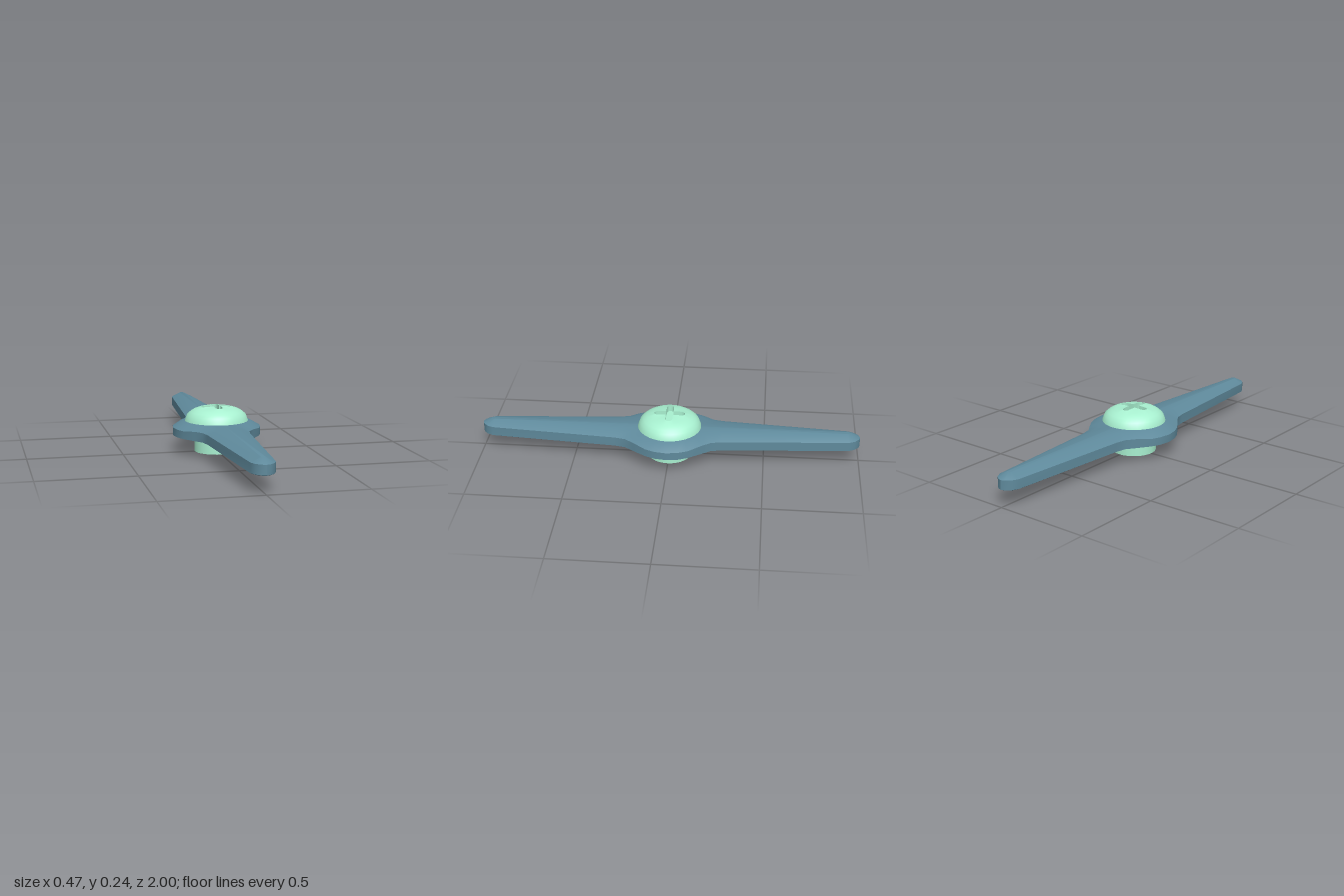
import * as THREE from 'three';
import { toCreasedNormals } from 'three/addons/utils/BufferGeometryUtils.js';

// Skin through rings of [x, y, z] (ordered +x to +z), closed by fans at both ends.
function loft(rings, startY, endY, crease) {
  const pos = [];
  const n = rings[0].length;
  const tri = (a, b, c) => pos.push(...a, ...b, ...c);
  for (let i = 0; i < n; i++) {
    const j = (i + 1) % n;
    for (let k = 0; k + 1 < rings.length; k++) {
      const a = rings[k], b = rings[k + 1];
      tri(a[i], b[i], a[j]);
      tri(a[j], b[i], b[j]);
    }
    const last = rings[rings.length - 1];
    tri([0, startY, 0], rings[0][i], rings[0][j]);
    tri([0, endY, 0], last[j], last[i]);
  }
  const g = new THREE.BufferGeometry();
  g.setAttribute('position', new THREE.Float32BufferAttribute(pos, 3));
  return toCreasedNormals(g, crease);
}

// Full ring from one quarter of [x, y, z] points running from +x to +z.
function mirrorQuarter(q) {
  const half = [...q, ...q.slice(0, -1).reverse().map(([x, y, z]) => [-x, y, z])];
  return [...half, ...half.slice(1, -1).reverse().map(([x, y, z]) => [x, y, -z])];
}

// Two-armed plate: round hub, tapering arms with a roof-like top
function plateGeometry() {
  const edge = [[0.233, 0], [0.224, 0.06], [0.203, 0.11], [0.155, 0.18], [0.123, 0.225], [0.111, 0.28],
    [0.06, 0.94], [0.045, 0.972], [0.022, 0.993], [0, 1]];
  const crest = [[0.175, 0], [0.17, 0.045], [0.152, 0.09], [0.112, 0.145], [0.075, 0.195], [0.055, 0.28],
    [0.012, 0.935], [0.009, 0.945], [0.005, 0.95], [0, 0.95]];
  const ring = (pts, y) => mirrorQuarter(pts.map(([x, z], i) => [x, y(i), z]));
  const bottom = edge.map(([x, z], i) => (i < 5 ? [x * 0.78, z * 0.85] : [x * 0.93, z * 0.995]));
  return loft([
    ring(bottom, (i) => (i < 5 ? 0.081 : 0.088)),
    ring(edge, () => 0.091),
    ring(edge, (i) => (i < 3 ? 0.132 : 0.14)),
    ring(crest, () => 0.164),
  ], 0.081, 0.164, 0.6);
}

// Domed screw head with a round-ended cross recess
function headGeometry() {
  const w = 0.019, c = 0.062;
  const octant = [0, 6, 12, 17, 24, 34, 45].map(THREE.MathUtils.degToRad);
  const angles = [];
  for (let k = 0; k < 4; k++) {
    const base = k * Math.PI / 2;
    octant.forEach((a) => angles.push(base + a));
    octant.slice(1, -1).reverse().forEach((a) => angles.push(base + Math.PI / 2 - a));
  }
  const crossRadius = (t) => {
    const m = t % (Math.PI / 2);
    const a = Math.min(m, Math.PI / 2 - m);
    const side = w / Math.max(Math.sin(a), 1e-6);
    if (side * Math.cos(a) < c) return side;
    return c * Math.cos(a) + Math.sqrt(Math.max(0, w * w - (c * Math.sin(a)) ** 2));
  };
  const ring = (radius, height) => angles.map((t) => {
    const r = radius(t);
    return [r * Math.cos(t), height(r), r * Math.sin(t)];
  });
  const profile = [[0.168, 0.16], [0.166, 0.168], [0.155, 0.196], [0.138, 0.211], [0.12, 0.222], [0.095, 0.231]];
  return loft([
    ...profile.map(([r, y]) => ring(() => r, () => y)),
    ring(crossRadius, (r) => 0.24 - 0.6 * r * r),
    ring(crossRadius, () => 0.205),
  ], 0.16, 0.205, 0.6);
}

export function createModel() {
  const model = new THREE.Group();
  const plateMaterial = new THREE.MeshStandardMaterial({ color: 0x5f8a9c });
  const screwMaterial = new THREE.MeshStandardMaterial({ color: 0xa8f0d0 });
  const add = (name, geometry, material) => {
    const mesh = new THREE.Mesh(geometry, material);
    mesh.name = name;
    model.add(mesh);
    return mesh;
  };
  add('twoArmedPlate', plateGeometry(), plateMaterial);
  add('screwHead', headGeometry(), screwMaterial);
  add('screwShaft', new THREE.CylinderGeometry(0.117, 0.117, 0.162, 32), screwMaterial).position.y = 0.081;
  return model;
}
